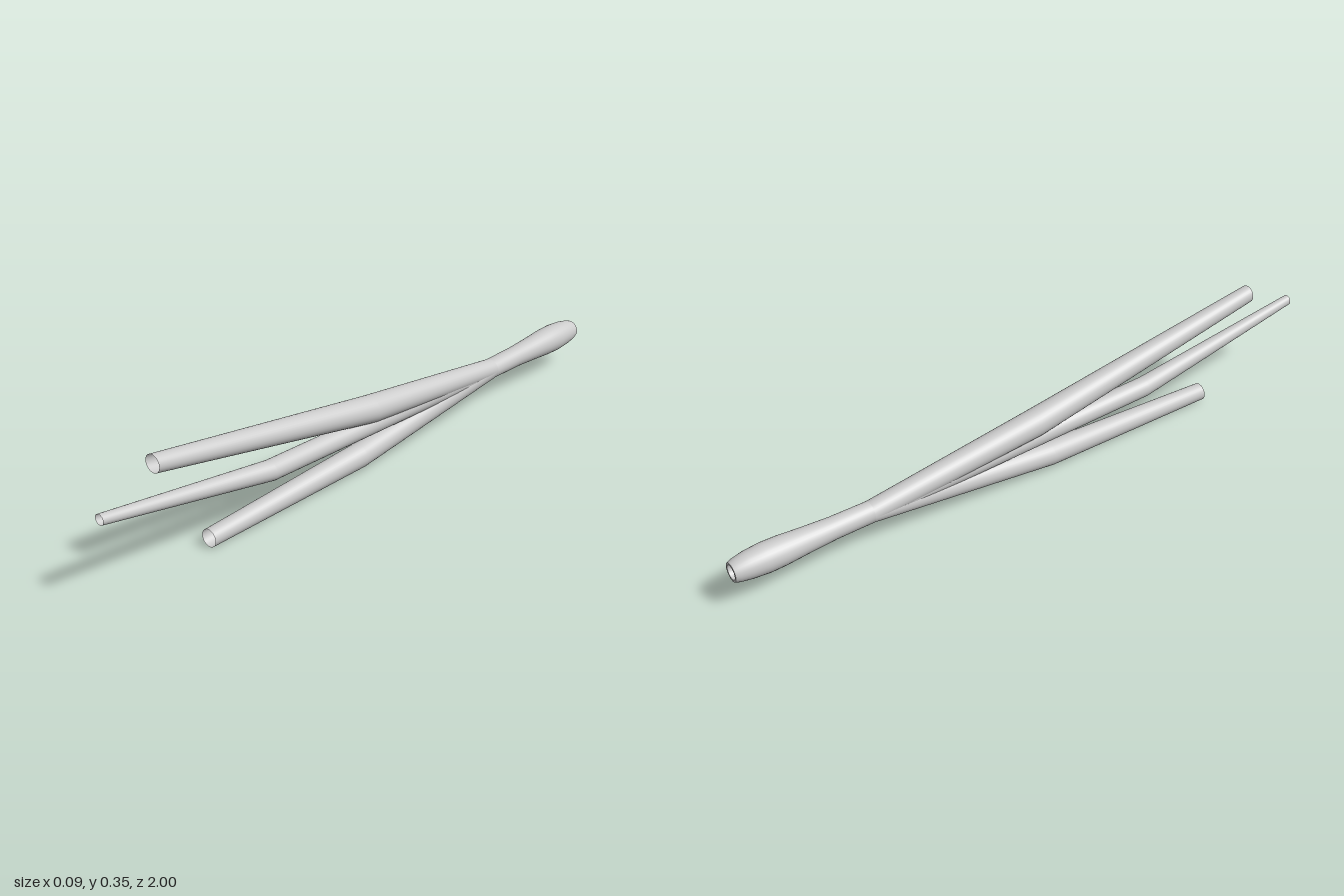
import * as THREE from 'three';

const SIDES = 32;
const material = new THREE.MeshStandardMaterial({ color: 0xcccccc, side: THREE.DoubleSide });

// Open tube through upright rings; each section is [z, centre y, radius]
function tube(name, sections) {
  const pos = [], index = [];
  sections.forEach(([z, y, r], i) => {
    for (let j = 0; j < SIDES; j++) {
      const t = (j / SIDES) * Math.PI * 2;
      pos.push(r * Math.cos(t), y + r * Math.sin(t), z);
      if (i === 0) continue;
      const k = (j + 1) % SIDES, a = (i - 1) * SIDES, b = i * SIDES;
      index.push(a + j, a + k, b + j, a + k, b + k, b + j);
    }
  });
  const geometry = new THREE.BufferGeometry();
  geometry.setAttribute('position', new THREE.Float32BufferAttribute(pos, 3));
  geometry.setIndex(index);
  geometry.computeVertexNormals();
  const mesh = new THREE.Mesh(geometry, material);
  mesh.name = name;
  return mesh;
}

export function createModel() {
  const group = new THREE.Group();
  group.name = 'threeProngedHandle';
  const joint = [-0.57, 0.115, 0.032];

  // Swollen grip at the back
  group.add(tube('grip', [
    [-1, 0.114, 0.029], [-0.985, 0.114, 0.034], [-0.95, 0.115, 0.04], [-0.9, 0.115, 0.044],
    [-0.85, 0.115, 0.043], [-0.78, 0.115, 0.038], [-0.69, 0.115, 0.033], joint,
  ]));

  // Rim and socket in the back end
  group.add(tube('gripRim', [[-1, 0.114, 0.022], [-1, 0.114, 0.029]]));
  group.add(tube('gripSocket', [[-0.92, 0.114, 0.022], [-1, 0.114, 0.022]]));
  group.add(tube('socketFloor', [[-0.92, 0.114, 0.0001], [-0.92, 0.114, 0.022]]));

  // Three hollow prongs fanning out from the joint
  group.add(tube('upperProng', [joint, [0, 0.181, 0.043], [0.82, 0.328, 0.027]]));
  group.add(tube('middleProng', [joint, [0.41, 0.142, 0.031], [1, 0.241, 0.016]]));
  group.add(tube('lowerProng', [joint, [0.05, 0.046, 0.038], [0.645, 0.028, 0.027]]));
  return group;
}
